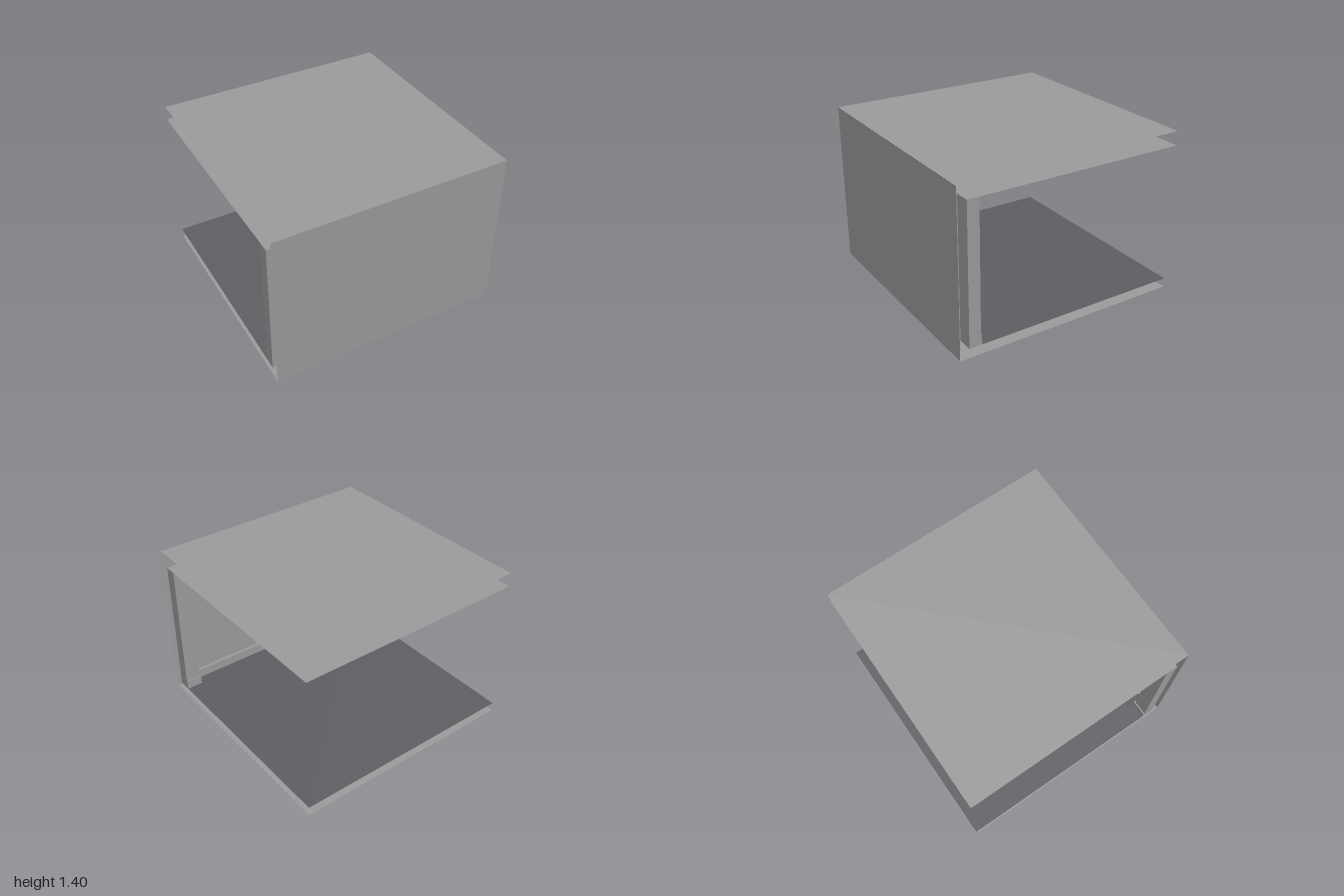
import * as THREE from 'three';

export function createModel() {
  const model = new THREE.Group();
  model.name = 'openRoom';
  const grey = new THREE.MeshStandardMaterial({ color: 0x9a9a9a, side: THREE.DoubleSide });
  grey.name = 'wall grey';
  const dark = new THREE.MeshStandardMaterial({ color: 0x5d5d62, side: THREE.DoubleSide });
  dark.name = 'floor dark grey';

  const add = (name, geometry, material) => {
    const mesh = new THREE.Mesh(geometry, material);
    mesh.name = name;
    model.add(mesh);
  };

  // Horizontal sheet spanning the full width, from z0 to z1
  const sheet = (name, y, z0, z1, material) => {
    const g = new THREE.PlaneGeometry(2, z1 - z0);
    g.rotateX(-Math.PI / 2);
    g.translate(0, y, (z0 + z1) / 2);
    add(name, g, material);
  };

  // Box given by its limits on each axis
  const block = (name, [x0, x1], [y0, y1], [z0, z1]) => {
    const g = new THREE.BoxGeometry(x1 - x0, y1 - y0, z1 - z0);
    g.translate((x0 + x1) / 2, (y0 + y1) / 2, (z0 + z1) / 2);
    add(name, g, grey);
  };

  // Outer shell: base, roof and front sheet
  sheet('base', 0, -1, 1, grey);
  sheet('roof', 1.4, -1, 1, grey);
  const front = new THREE.PlaneGeometry(2, 1.4);
  front.translate(0, 0.7, 1);
  add('frontWall', front, grey);

  // Inner floor and ceiling
  sheet('floor', 0.08, -1, 0.92, dark);
  sheet('ceiling', 1.28, -1, 0.92, grey);

  // Inner wall with its mouldings
  block('innerWall', [-0.87, 0.87], [0.08, 1.28], [0.92, 0.98]);
  block('baseboard', [-0.87, 0.87], [0.08, 0.16], [0.89, 0.92]);
  block('crownMoulding', [-0.87, 0.87], [1.2, 1.28], [0.875, 0.92]);

  // Corner posts on slightly larger plinths
  for (const s of [-1, 1]) {
    const side = s > 0 ? 'left' : 'right';
    const span = (inner) => (s > 0 ? [inner, 1] : [-1, -inner]);
    block(side + 'Post', span(0.87), [0.16, 1.28], [0.82, 0.92]);
    block(side + 'Plinth', span(0.86), [0.08, 0.16], [0.81, 0.92]);
  }
  return model;
}
